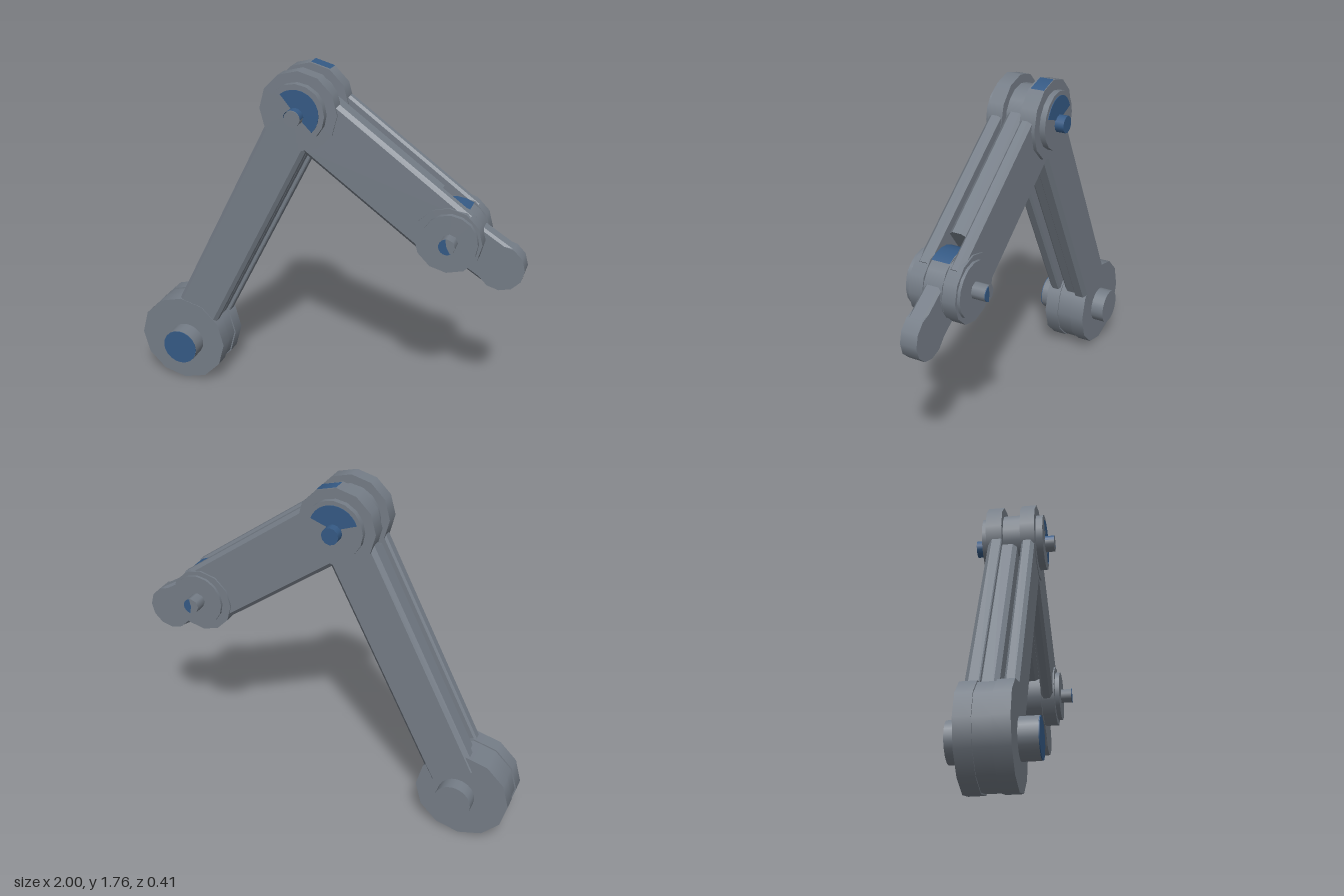
import * as THREE from 'three';

export function createModel() {
  const group = new THREE.Group();
  const grey = new THREE.MeshStandardMaterial({ color: 0x757d87 });
  grey.name = 'steel grey';
  const blue = new THREE.MeshStandardMaterial({ color: 0x355a85, side: THREE.DoubleSide });
  blue.name = 'worn blue';

  const BASE = [-0.765, 0.238], ELBOW = [-0.093, 1.567], WRIST = [0.655, 1.03], TIP = [0.882, 0.89];

  function add(name, geometry, material) {
    const mesh = new THREE.Mesh(geometry, material);
    mesh.name = name;
    group.add(mesh);
    return mesh;
  }

  // Disc, sector or curved band with its axis along z; angles in degrees, counted from +x
  function disc(name, [x, y], r, z0, z1, { material = grey, sides = 12, from = 0, sweep = 360, open = false } = {}) {
    const rad = Math.PI / 180;
    const g = new THREE.CylinderGeometry(r, r, z1 - z0, sides, 1, open, from * rad + Math.PI / 2, sweep * rad);
    g.rotateX(Math.PI / 2).translate(x, y, (z0 + z1) / 2);
    return add(name, g, material);
  }

  // Straight bar between two joints, with bevelled long edges; start and stop are distances from the first joint
  function bar(name, a, b, start, stop, half, z0, z1, bevelBack, bevelFront) {
    const dir = new THREE.Vector3(b[0] - a[0], b[1] - a[1], 0).normalize();
    const side = new THREE.Vector3(-dir.y, dir.x, 0);
    const section = new THREE.Shape([
      [-half + bevelBack, z0], [half - bevelBack, z0], [half, z0 + bevelBack], [half, z1 - bevelFront],
      [half - bevelFront, z1], [-half + bevelFront, z1], [-half, z1 - bevelFront], [-half, z0 + bevelBack],
    ].map((p) => new THREE.Vector2(...p)));
    const g = new THREE.ExtrudeGeometry(section, { depth: stop - start, bevelEnabled: false });
    g.applyMatrix4(new THREE.Matrix4().makeBasis(side, new THREE.Vector3(0, 0, 1), dir));
    g.translate(a[0] + dir.x * start, a[1] + dir.y * start, 0);
    return add(name, g, grey);
  }

  // Base joint: two cheeks, a slightly smaller core and a thick pin
  const basePin = [-0.74, 0.236];
  disc('baseCheekFront', BASE, 0.237, 0.04, 0.115);
  disc('baseCheekBack', BASE, 0.237, -0.115, -0.04);
  disc('baseCore', BASE, 0.23, -0.04, 0.04);
  disc('basePin', basePin, 0.093, -0.185, 0.2, { sides: 20 });
  disc('basePinCap', basePin, 0.092, 0.2, 0.204, { sides: 20, material: blue });

  // Lower arm: slim front bar, wider back bar with an inner rib
  bar('lowerArmFront', BASE, ELBOW, 0.12, 1.4, 0.115, 0.048, 0.112, 0.01, 0.018);
  bar('lowerArmBack', BASE, ELBOW, 0.12, 1.4, 0.126, -0.12, -0.05, 0.02, 0.005);
  bar('lowerArmRib', BASE, ELBOW, 0.12, 1.32, 0.108, -0.051, 0.025, 0.005, 0.02);

  // Elbow: fork plates, inner disc, collar and pin
  disc('elbowPlateFront', ELBOW, 0.193, 0.042, 0.115);
  disc('elbowPlateBack', ELBOW, 0.193, -0.13, -0.05);
  disc('elbowCore', ELBOW, 0.15, -0.05, 0.042, { sides: 16 });
  disc('elbowCollar', ELBOW, 0.142, -0.158, 0.15, { sides: 16 });
  const elbowPin = [-0.093, 1.555];
  disc('elbowPin', elbowPin, 0.04, -0.2, 0.197);
  disc('elbowPinSleeveBack', elbowPin, 0.042, -0.203, -0.158, { material: blue });
  disc('elbowPinSleeveFront', elbowPin, 0.042, 0.15, 0.197, { material: blue, from: 0, sweep: 180, open: true });

  // Worn paint around the elbow
  disc('elbowPaintFront', ELBOW, 0.115, 0.15, 0.153, { material: blue, from: -45, sweep: 175 });
  disc('elbowPaintBack', ELBOW, 0.12, -0.161, -0.158, { material: blue, from: 20, sweep: 140 });
  disc('elbowPaintTop', ELBOW, 0.195, -0.128, -0.06, { material: blue, from: 60, sweep: 30, sides: 1, open: true });

  // Forearm: two side plates, with a rib between them
  bar('forearmPlateFront', ELBOW, WRIST, 0.13, 0.92, 0.153, 0.045, 0.108, 0.012, 0.018);
  bar('forearmPlateBack', ELBOW, WRIST, 0.13, 0.92, 0.153, -0.114, -0.057, 0.018, 0.012);
  bar('forearmRib', ELBOW, WRIST, 0.08, 0.74, 0.13, -0.045, 0.04, 0.02, 0.02);

  // Wrist: outer plates, inner disc, collar and pin
  const wristPlate = [0.643, 1.025];
  disc('wristPlateFront', wristPlate, 0.163, 0.045, 0.115);
  disc('wristPlateBack', wristPlate, 0.163, -0.122, -0.055);
  disc('wristCore', wristPlate, 0.158, -0.05, 0.042, { sides: 16 });
  disc('wristPaintTop', wristPlate, 0.162, -0.05, 0.042, { material: blue, from: 60, sweep: 60, sides: 4, open: true });
  disc('wristCollar', [0.657, 1.03], 0.133, -0.136, 0.138, { sides: 16 });
  disc('wristPin', [0.657, 1.03], 0.04, -0.203, 0.195, { sides: 8 });
  disc('wristPinPaint', [0.657, 1.03], 0.039, 0.195, 0.198, { sides: 8, material: blue, from: 100, sweep: 200 });
  disc('wristPinPaintBack', [0.657, 1.03], 0.039, -0.206, -0.203, { sides: 8, material: blue, from: -80, sweep: 160 });

  // Short finger with a round end
  bar('finger', WRIST, TIP, 0, 0.267, 0.113, -0.045, 0.038, 0.012, 0.012);
  disc('fingerTip', TIP, 0.115, -0.045, 0.038);

  return group;
}
